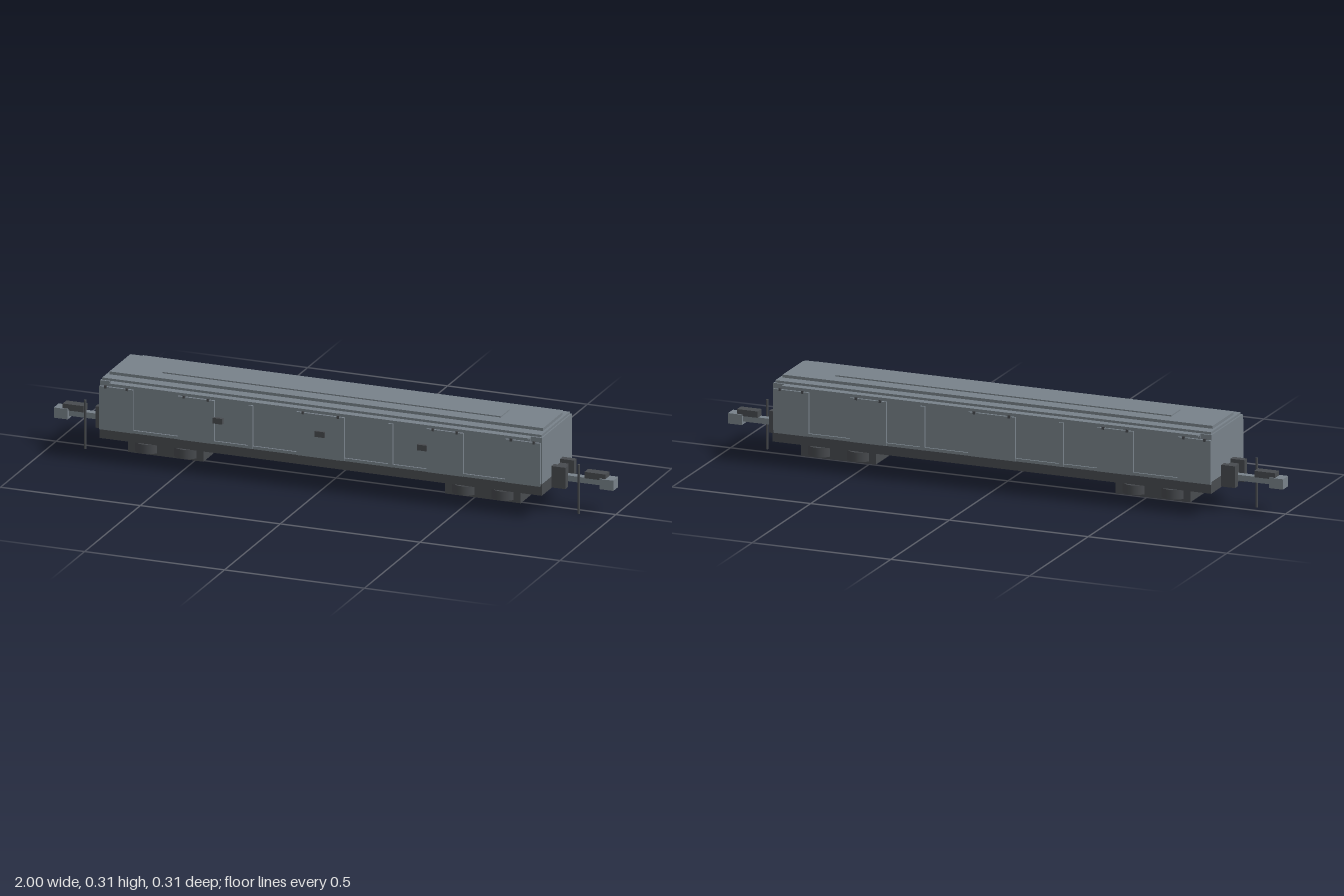
import * as THREE from 'three';

const mat = (name, color) => {
  const m = new THREE.MeshStandardMaterial({ color });
  m.name = name;
  return m;
};

export function createModel() {
  const model = new THREE.Group();
  model.name = 'railwayVan';
  const slate = mat('slate grey', 0x78828a);
  const dark = mat('dark grey', 0x484b4f);

  // Box given by its lower and upper limits on each axis
  const box = (name, m, [x0, x1], [y0, y1], [z0, z1], parent = model) => {
    const mesh = new THREE.Mesh(new THREE.BoxGeometry(x1 - x0, y1 - y0, z1 - z0), m);
    mesh.position.set((x0 + x1) / 2, (y0 + y1) / 2, (z0 + z1) / 2);
    mesh.name = name;
    parent.add(mesh);
    return mesh;
  };
  const cylinder = (name, m, r, h, x, y, z, parent = model) => {
    const mesh = new THREE.Mesh(new THREE.CylinderGeometry(r, r, h, 20), m);
    mesh.position.set(x, y, z);
    mesh.name = name;
    parent.add(mesh);
    return mesh;
  };
  const sym = (v) => [-v, v];

  // Underframe and body shell
  box('underframe', dark, sym(0.79), [0.083, 0.123], sym(0.137));
  box('bodyShell', slate, sym(0.79), [0.123, 0.285], sym(0.133));

  // Stepped roof
  box('eaves', slate, sym(0.75), [0.28, 0.285], sym(0.154));
  box('lowerRoof', slate, sym(0.785), [0.285, 0.293], sym(0.127));
  box('upperRoof', slate, sym(0.775), [0.293, 0.303], sym(0.088));
  box('roofWalk', slate, sym(0.605), [0.303, 0.307], sym(0.039));

  // Side walls: raised doors, posts, sills and door rails on both sides
  const doors = [[-0.79, -0.67], [-0.51, -0.38], [-0.085, 0.085], [0.38, 0.51], [0.66, 0.785]];
  const posts = [-0.25, 0.25];
  for (const s of [1, -1]) {
    const side = new THREE.Group();
    side.name = s > 0 ? 'frontWall' : 'backWall';
    model.add(side);
    const zs = (a, b) => (s > 0 ? [a, b] : [-b, -a]);
    for (const d of doors) {
      box('door', slate, d, [0.115, 0.267], zs(0.132, 0.141), side);
      for (const x of [d[0] + 0.022, d[1] - 0.022])
        box('doorHanger', dark, [x - 0.004, x + 0.004], [0.262, 0.272], zs(0.135, 0.143), side);
    }
    for (const x of posts)
      box('doorPost', slate, [x - 0.008, x + 0.008], [0.115, 0.267], zs(0.132, 0.14), side);
    box('doorSill', slate, sym(0.785), [0.115, 0.125], zs(0.132, 0.139), side);
    box('doorRail', slate, sym(0.75), [0.27, 0.28], zs(0.132, 0.138), side);
  }

  // Door latches on the front wall only
  for (const x of [-0.365, 0, 0.365])
    box('doorLatch', dark, [x - 0.017, x + 0.017], [0.19, 0.21], [0.136, 0.148]);

  // Bogies: flat frame with drum-shaped corner pads and a pivot
  for (const cx of [-0.567, 0.567]) {
    const bogie = new THREE.Group();
    bogie.name = 'bogie';
    bogie.position.x = cx;
    model.add(bogie);
    box('bogieFrame', dark, sym(0.135), [0.035, 0.075], sym(0.105), bogie);
    box('bogieBolster', slate, sym(0.06), [0.075, 0.081], sym(0.07), bogie);
    cylinder('bogiePivot', dark, 0.04, 0.01, 0, 0.08, 0, bogie);
    for (const x of [-0.07, 0.07])
      for (const z of [-0.085, 0.085])
        cylinder('cornerPad', dark, 0.045, 0.033, x, 0.0605, z, bogie);
  }

  // End gear: mount, side blocks, coupler and hanging rod at each end
  for (const e of [1, -1]) {
    const end = new THREE.Group();
    end.name = e > 0 ? 'leftEndGear' : 'rightEndGear';
    model.add(end);
    const xs = (a, b) => (e > 0 ? [a, b] : [-b, -a]);
    box('couplerMount', dark, xs(0.785, 0.82), [0.085, 0.147], sym(0.028), end);
    for (const s of [1, -1])
      box('bufferBlock', dark, xs(0.785, 0.84), [0.085, 0.16], s > 0 ? [0.028, 0.051] : [-0.051, -0.028], end);
    box('couplerBar', slate, xs(0.8, 0.96), [0.1, 0.12], sym(0.012), end);
    box('couplerHead', slate, xs(0.95, 1), [0.09, 0.126], sym(0.022), end);
    box('couplerTop', dark, xs(0.895, 0.97), [0.12, 0.142], sym(0.017), end);
    cylinder('hangingRod', dark, 0.0045, 0.172, e * 0.882, 0.086, 0.035, end);
  }

  return model;
}
